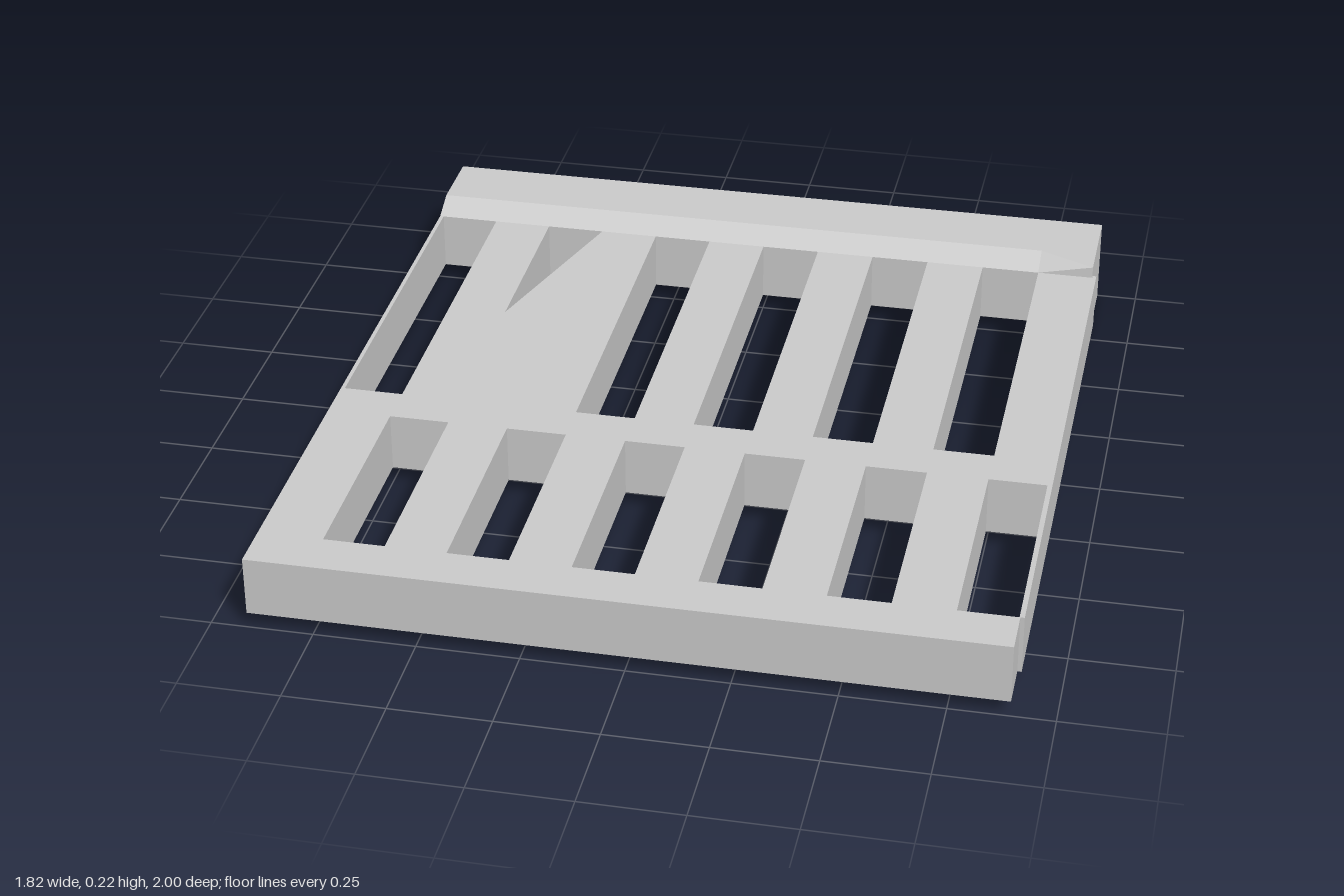
import * as THREE from 'three';

const material = new THREE.MeshStandardMaterial({ color: 0xcccccc, flatShading: true });
const thinMaterial = new THREE.MeshStandardMaterial({ color: 0xcccccc, side: THREE.DoubleSide });

const BOTTOM = 0.04, TOP = 0.19;

function points(list) {
  return list.map(([x, z]) => new THREE.Vector2(x, z));
}

function rectangle(x0, x1, z0, z1) {
  return new THREE.Path(points([[x0, z0], [x1, z0], [x1, z1], [x0, z1]]));
}

// Flat plate drawn in x/z, pierced by two staggered rows of slots
function plateGeometry() {
  const plate = new THREE.Shape(points([
    [-0.91, -0.76], [0.905, -0.76], [0.905, 0.88], [0.895, 0.88], [0.895, 1], [-0.91, 1],
  ]));
  for (let i = 0; i < 6; i++) {
    const x = -0.9 + 0.3 * i;
    plate.holes.push(rectangle(x, x + 0.15, -0.75, 0.2));
    plate.holes.push(rectangle(x + 0.15, Math.min(x + 0.3, 0.893), 0.31, 0.88));
  }
  const geometry = new THREE.ExtrudeGeometry(plate, { depth: TOP - BOTTOM, bevelEnabled: false });
  return geometry.rotateX(Math.PI / 2).translate(0, TOP, 0);
}

// Back rail: cross-sections along x, its front chamfers closing up at the left end
function railGeometry() {
  const sections = [[-0.91, -0.82], [0.75, -0.82], [0.895, -0.752]];
  const n = 6, position = [], index = [];
  for (const [x, z] of sections) {
    const profile = [[-1, 0], [-1, 0.22], [z, 0.22], [-0.75, TOP], [-0.75, BOTTOM], [z, 0]];
    for (const [pz, py] of profile) position.push(x, py, pz);
  }
  for (let s = 0; s < sections.length - 1; s++) {
    for (let j = 0; j < n; j++) {
      const a = s * n + j, b = s * n + (j + 1) % n;
      index.push(a, b, a + n, b, b + n, a + n);
    }
  }
  const last = (sections.length - 1) * n;
  for (let j = 1; j < n - 1; j++) {
    index.push(0, j + 1, j);
    index.push(last, last + j, last + j + 1);
  }
  const geometry = new THREE.BufferGeometry();
  geometry.setAttribute('position', new THREE.Float32BufferAttribute(position, 3));
  geometry.setIndex(index);
  const flat = geometry.toNonIndexed();
  flat.computeVertexNormals();
  return flat;
}

// Thin skin over the second long slot, leaving a triangular opening
function skinGeometry() {
  const skin = new THREE.Shape(points([[-0.6, -0.26], [-0.45, -0.75], [-0.45, 0.2], [-0.6, 0.2]]));
  return new THREE.ShapeGeometry(skin).rotateX(Math.PI / 2).translate(0, TOP, 0);
}

export function createModel() {
  const model = new THREE.Group();
  model.name = 'slottedPanel';
  const add = (name, geometry, mat) => {
    const mesh = new THREE.Mesh(geometry, mat);
    mesh.name = name;
    model.add(mesh);
  };
  add('slottedPlate', plateGeometry(), material);
  add('backRail', railGeometry(), material);
  add('slotSkin', skinGeometry(), thinMaterial);
  return model;
}
